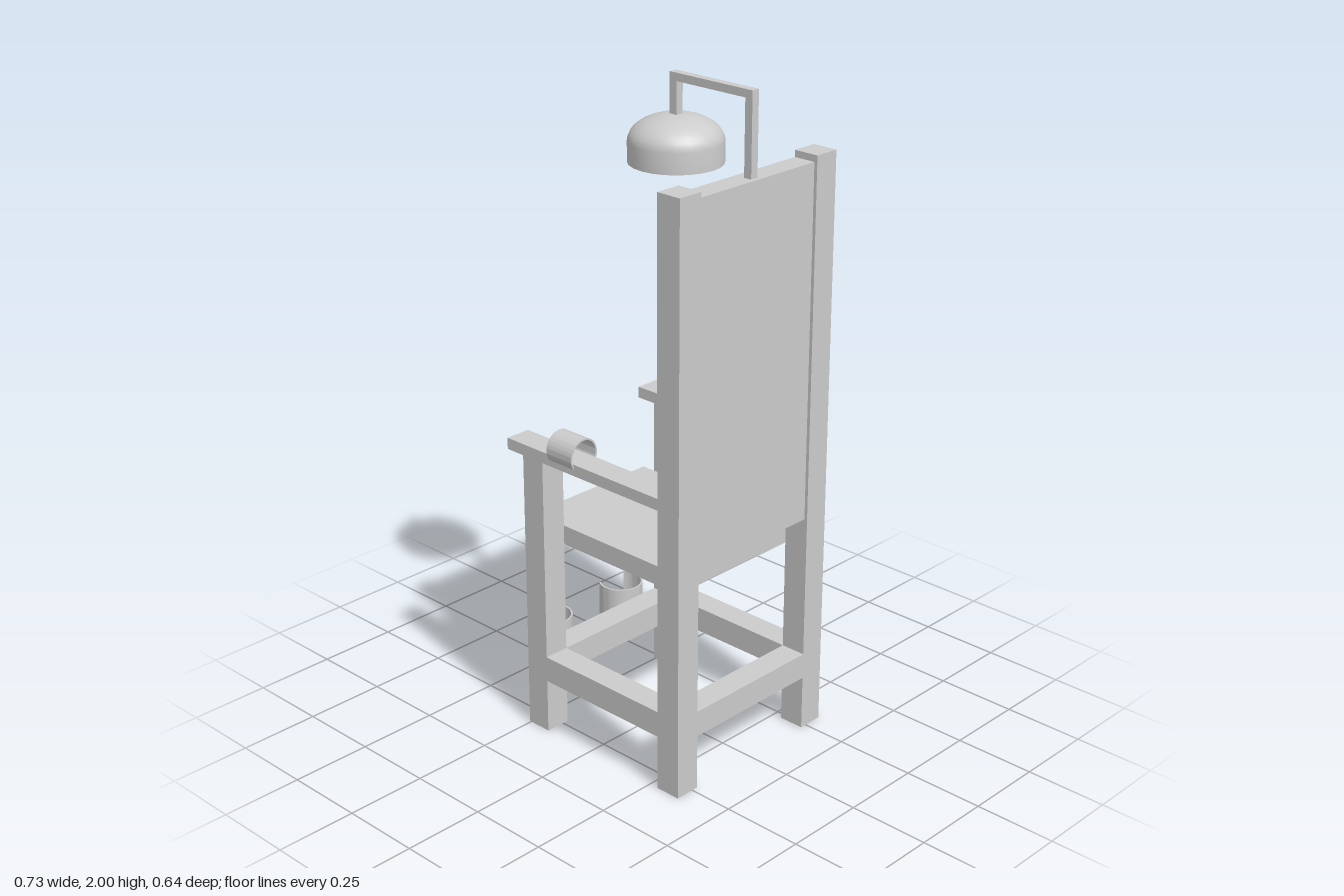
import * as THREE from 'three';
import { toCreasedNormals } from 'three/addons/utils/BufferGeometryUtils.js';

const material = new THREE.MeshStandardMaterial({ color: 0xcccccc, side: THREE.DoubleSide });

export function createModel() {
  const model = new THREE.Group();

  const add = (name, geometry) => {
    const mesh = new THREE.Mesh(geometry, material);
    mesh.name = name;
    model.add(mesh);
    return mesh;
  };

  // Box given by its minimum and maximum on each axis
  const box = (name, x0, x1, y0, y1, z0, z1) => {
    const mesh = add(name, new THREE.BoxGeometry(x1 - x0, y1 - y0, z1 - z0));
    mesh.position.set((x0 + x1) / 2, (y0 + y1) / 2, (z0 + z1) / 2);
    return mesh;
  };

  // C-shaped band around z, opening towards -x
  const band = (radius, thickness, width) => {
    const a = THREE.MathUtils.degToRad(127);
    const shape = new THREE.Shape();
    shape.absarc(0, 0, radius, -a, a, false);
    shape.absarc(0, 0, radius - thickness, a, -a, true);
    const geometry = new THREE.ExtrudeGeometry(shape, { depth: width, bevelEnabled: false, curveSegments: 20 });
    return geometry.translate(0, 0, -width / 2);
  };
  const smooth = (geometry) => toCreasedNormals(geometry, 0.7);

  // Posts, armrests, side rails and cuffs, mirrored across z
  for (const s of [-1, 1]) {
    const side = s < 0 ? 'Right' : 'Left';
    const z0 = s * 0.27 - 0.04, z1 = s * 0.27 + 0.04;
    box('backPost' + side, 0.28, 0.36, 0, 1.78, z0, z1);
    box('frontPost' + side, -0.255, -0.175, 0, 0.88, z0, z1);
    box('armrest' + side, -0.32, 0.28, 0.88, 0.915, z0, z1);
    box('sideRail' + side, -0.175, 0.28, 0.17, 0.25, z0, z1);

    const wrist = add('wristCuff' + side, smooth(band(0.051, 0.005, 0.1).rotateZ(Math.PI / 2).rotateY(Math.PI / 2)));
    wrist.position.set(-0.095, 0.93, s * 0.27);

    const ankle = add('ankleCuff' + side, smooth(band(0.068, 0.005, 0.13).rotateX(Math.PI / 2)));
    ankle.position.set(-0.325, 0.215, s * 0.152);
  }

  // Cross rails, seat and backrest
  box('frontRail', -0.255, -0.175, 0.17, 0.25, -0.23, 0.23);
  box('backRail', 0.28, 0.36, 0.17, 0.25, -0.23, 0.23);
  box('seat', -0.3, 0.28, 0.595, 0.655, -0.23, 0.23);
  box('backrest', 0.28, 0.35, 0.69, 1.76, -0.23, 0.23);

  // Crossed chest straps, the first lying over the second
  [[0.235, -1], [0.27, 1]].forEach(([x, s], i) => {
    const geometry = band(1, 0.06, 0.1).rotateY(Math.PI).scale(0.075, 0.32, 1).rotateX(s * Math.PI / 6);
    add('chestStrap' + (i + 1), smooth(geometry)).position.set(x, 1.235, 0);
  });

  // Bent arm holding the helmet
  box('helmetArmUpright', 0.312, 0.337, 1.76, 2, -0.0125, 0.0125);
  box('helmetArmBar', 0.065, 0.312, 1.977, 2, -0.0125, 0.0125);
  box('helmetArmDrop', 0.04, 0.065, 1.875, 2, -0.0125, 0.0125);

  // Hollow domed helmet: inner profile upwards, outer profile downwards
  const dome = (r, h) => Array.from({ length: 11 }, (_, i) => {
    const t = (i / 10) * Math.PI / 2;
    return new THREE.Vector2(r * Math.cos(t), 1.81 + h * Math.sin(t));
  });
  const profile = [
    ...dome(0.134, 0.075).reverse(),
    new THREE.Vector2(0.134, 1.75),
    new THREE.Vector2(0.127, 1.75),
    ...dome(0.127, 0.068),
  ].reverse();
  profile.forEach((p) => { p.x = Math.max(p.x, 0); });
  add('helmet', smooth(new THREE.LatheGeometry(profile, 24))).position.x = 0.053;

  return model;
}
